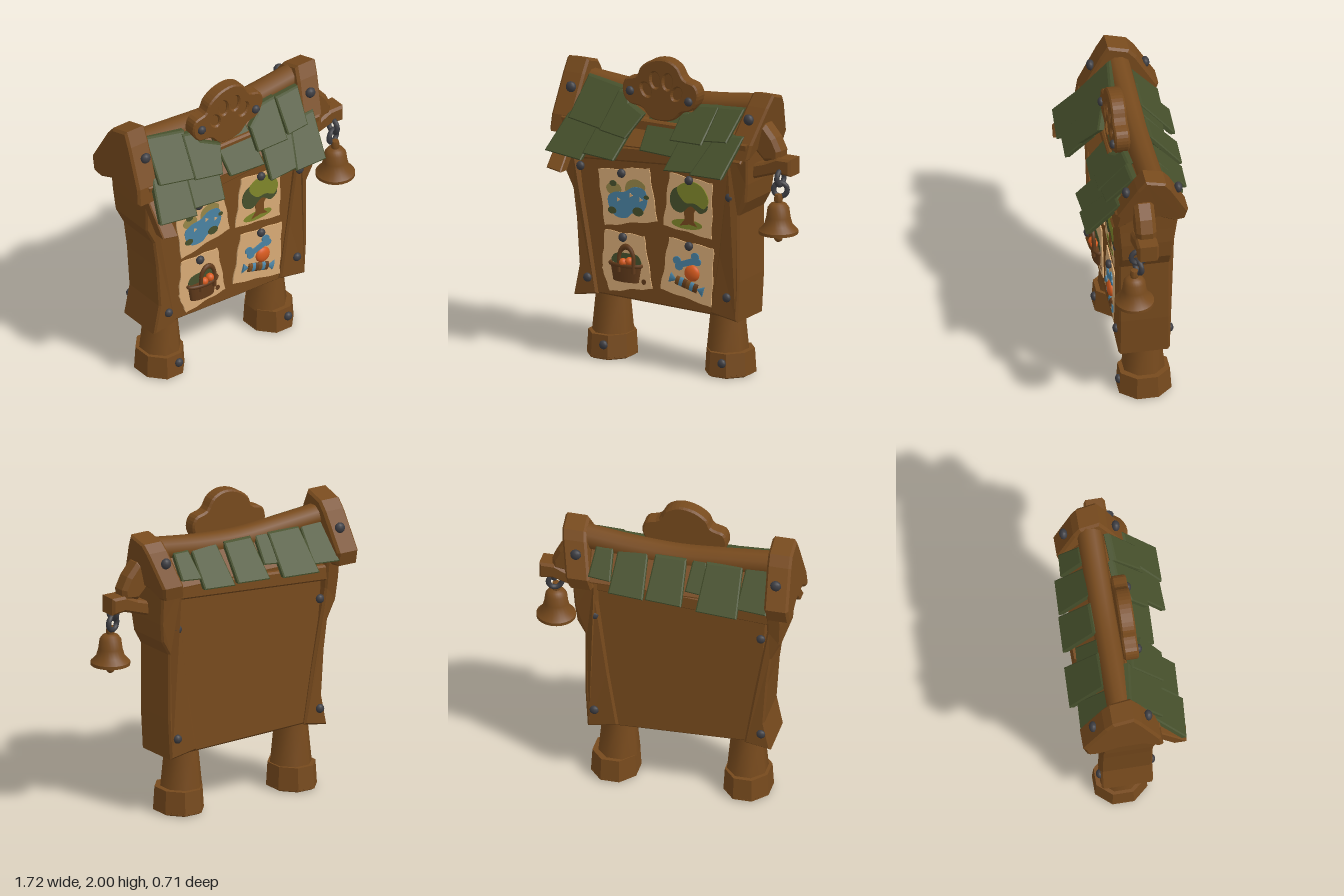
import * as THREE from 'three';
import { toCreasedNormals } from 'three/addons/utils/BufferGeometryUtils.js';

const paint = (name, color) => Object.assign(new THREE.MeshStandardMaterial({ color }), { name });

export function createModel() {
  const root = new THREE.Group();
  root.name = 'noticeBoard';
  const M = {
    wood: paint('wood', 0x774a1d), darkWood: paint('darkWood', 0x623b1b), roof: paint('roofGreen', 0x46502c),
    iron: paint('iron', 0x3d3d42), paper: paint('paper', 0xd8ab76), blue: paint('blue', 0x4a82a2),
    leaf: paint('leafGreen', 0x7f862a), orange: paint('orange', 0xd65a1e), olive: paint('olive', 0x978648),
  };
  const add = (name, geo, mat, x = 0, y = 0, z = 0, parent = root) => {
    const m = new THREE.Mesh(geo, mat);
    m.name = name;
    m.position.set(x, y, z);
    parent.add(m);
    return m;
  };
  const v2 = (pts) => pts.map(([x, y]) => new THREE.Vector2(x, y));
  const smooth = (pts, n = 40) =>
    new THREE.CatmullRomCurve3(pts.map(([x, y]) => new THREE.Vector3(x, y, 0)), true).getPoints(n).slice(0, n).map((p) => [p.x, p.y]);
  const oval = (cx, cy, rx, ry, a = 0, n = 20) => Array.from({ length: n }, (_, i) => {
    const t = (i / n) * Math.PI * 2, u = rx * Math.cos(t), v = ry * Math.sin(t);
    return [cx + u * Math.cos(a) - v * Math.sin(a), cy + u * Math.sin(a) + v * Math.cos(a)];
  });
  // Solid from a front outline between two depths, with chamfered edges
  const slabGeo = (pts, z0, z1, bevel = 0.012, holes = []) => {
    const shape = new THREE.Shape(v2(pts));
    holes.forEach((h) => shape.holes.push(new THREE.Path(v2(h))));
    const geo = new THREE.ExtrudeGeometry(shape, {
      depth: z1 - z0 - 2 * bevel, bevelEnabled: bevel > 0, bevelSize: bevel, bevelThickness: bevel, bevelOffset: -bevel, bevelSegments: 1,
    });
    return geo.translate(0, 0, z0 + bevel);
  };
  const slab = (name, pts, z0, z1, mat = M.wood, bevel, holes) => add(name, slabGeo(pts, z0, z1, bevel, holes), mat);
  // Moves every vertex by a rule
  const warp = (geo, rule) => {
    const p = geo.attributes.position, v = new THREE.Vector3();
    for (let i = 0; i < p.count; i++) {
      rule(v.fromBufferAttribute(p, i));
      p.setXYZ(i, v.x, v.y, v.z);
    }
    geo.computeVertexNormals();
    return geo;
  };
  const bolt = (x, y, z, r = 0.029) =>
    add('bolt', new THREE.SphereGeometry(r, 10, 8), M.iron, x, y, z).scale.set(1, 1, 0.75);

  // Board and side posts, the posts flaring in depth towards the roof
  slab('backPanel', [[-0.7, 1.6], [0.45, 1.6], [0.38, 0.4], [-0.62, 0.43]], -0.165, 0.12);
  const post = (name, pts) => add(name, warp(slabGeo(pts, -0.185, 0.14), (v) => {
    v.z *= 1 + 0.7 * Math.max(0, v.y - 1.2);
  }), M.wood);
  post('rightPost', [[-0.785, 1.56], [-0.785, 1.36], [-0.775, 1.21], [-0.715, 1.09], [-0.69, 0.9], [-0.67, 0.6], [-0.71, 0.4], [-0.54, 0.43], [-0.6, 0.8], [-0.69, 1.3], [-0.69, 1.56]]);
  post('leftPost', [[0.56, 1.56], [0.55, 1.4], [0.545, 1.29], [0.53, 1.17], [0.48, 1.08], [0.48, 0.65], [0.465, 0.385], [0.27, 0.42], [0.33, 0.8], [0.4, 1.35], [0.4, 1.56]]);
  const lintel = [[-0.72, 1.29], [0.42, 1.37], [0.42, 1.47], [-0.72, 1.39]];
  slab('frontLintel', lintel, 0.05, 0.16);
  slab('backLintel', lintel.map(([x, y]) => [x, y + 0.06]), -0.2, -0.1);

  // Legs with chunky feet
  for (const [x, fx] of [[-0.53, -0.535], [0.295, 0.315]]) {
    const leg = new THREE.Group();
    leg.name = 'leg';
    root.add(leg);
    const block = (name, rt, rb, h, px, y, depth, crease) => {
      const g = new THREE.CylinderGeometry(rt, rb, h, 8).rotateY(Math.PI / 8).scale(1, 1, depth);
      add(name, toCreasedNormals(g, crease), M.wood, px, y, -0.045, leg);
    };
    block('shin', 0.103, 0.132, 0.3, x, 0.3, 1.06, 0.95);
    block('foot', 0.148, 0.157, 0.15, fx, 0.085, 1.14, 0.4);
    block('sole', 0.157, 0.14, 0.02, fx, 0.01, 1.14, 0.4);
    bolt(fx + 0.03, 0.1, 0.12);
  }

  // Gable ends, leaning with height, notched underneath
  const gable = [[-0.0, 1.9], [-0.13, 1.86], [-0.17, 1.8], [-0.28, 1.56], [-0.26, 1.47], [-0.2, 1.46], [-0.1, 1.51], [0.05, 1.51], [0.14, 1.45], [0.18, 1.45], [0.165, 1.56], [0.05, 1.81]];
  const gableEnd = (name, x, top, lean, width, back) => {
    const g = slabGeo(gable, -width / 2, width / 2, 0.015).rotateY(-Math.PI / 2);
    add(name, warp(g, (v) => {
      v.x += x + lean * (v.y - 1.6);
      v.y += top * Math.max(0, v.y - 1.5);
      v.z += back * Math.min(0, v.z + 0.1);
    }), M.wood);
  };
  gableEnd('rightGable', -0.775, 0, 0.06, 0.155, 0.25);
  gableEnd('leftGable', 0.515, -0.12, 0.2, 0.155, 0);

  // Ridge beam, sagging in the middle
  const ridge = new THREE.CatmullRomCurve3([[-0.74, 1.745], [-0.4, 1.715], [-0.1, 1.695], [0.2, 1.71], [0.54, 1.75]].map(([x, y]) => new THREE.Vector3(x, y, -0.065)));
  add('ridgeBeam', new THREE.TubeGeometry(ridge, 16, 0.08, 10), M.wood);

  // Roof: anything on a slope is a front outline sheared in depth
  const sloped = (name, pts, thick, lift, mat, back = false) => {
    const g = slabGeo(pts, 0, thick, 0.008);
    add(name, warp(g, (v) => {
      if (back) v.z = -0.1 - (1.75 - v.y) * 0.88 - lift - thick + v.z;
      else v.z += (1.78 - v.y) * 0.85 + lift;
    }), mat);
  };
  sloped('frontRoofBoard', [[-0.7, 1.74], [0.46, 1.74], [0.42, 1.45], [-0.72, 1.42]], 0.04, -0.13, M.wood);
  sloped('backRoofBoard', [[-0.7, 1.72], [0.46, 1.72], [0.44, 1.53], [-0.7, 1.53]], 0.04, -0.06, M.wood, true);
  sloped('rightRafter', [[-0.78, 1.7], [-0.69, 1.7], [-0.68, 1.245], [-0.79, 1.26]], 0.09, -0.19, M.wood);
  sloped('leftRafter', [[0.46, 1.7], [0.56, 1.7], [0.52, 1.43], [0.43, 1.43]], 0.09, -0.19, M.wood);
  // Lower row first, upper row overlapping it
  [
    [[-0.73, 1.6], [-0.48, 1.57], [-0.535, 1.345], [-0.805, 1.37]],
    [[-0.5, 1.57], [-0.26, 1.55], [-0.31, 1.37], [-0.54, 1.385]],
    [[0.09, 1.56], [0.33, 1.56], [0.27, 1.37], [0.05, 1.36]],
    [[0.33, 1.59], [0.52, 1.6], [0.47, 1.36], [0.24, 1.36]],
  ].forEach((q, i) => sloped('lowerShingle', q, 0.045, -0.055 + (i % 2) * 0.008, M.roof));
  [
    [[-0.68, 1.8], [-0.4, 1.76], [-0.455, 1.525], [-0.715, 1.56]],
    [[-0.43, 1.75], [-0.36, 1.74], [-0.33, 1.69], [-0.2, 1.64], [-0.27, 1.5], [-0.47, 1.525]],
    [[0.15, 1.73], [0.29, 1.74], [0.26, 1.525], [0.03, 1.525], [0.045, 1.65], [0.12, 1.69]],
    [[0.29, 1.74], [0.47, 1.75], [0.43, 1.56], [0.27, 1.55]],
  ].forEach((q, i) => sloped('upperShingle', q, 0.045, -0.025 + (i % 2) * 0.012, M.roof));
  sloped('middleShingle', [[-0.2, 1.66], [0.06, 1.66], [0.075, 1.42], [-0.185, 1.43]], 0.045, -0.105, M.roof);
  [[-0.71, -0.53, 1.51], [-0.53, -0.28, 1.48], [-0.3, -0.19, 1.56], [-0.17, 0.05, 1.5], [0.08, 0.29, 1.5], [0.3, 0.43, 1.57]]
    .forEach(([a, b, y], i) => sloped('backShingle', [[a + 0.01, 1.73], [b - 0.01, 1.73], [b + 0.01, y + 0.01], [a - 0.005, y]], 0.045, -0.03 + (i % 2) * 0.015, M.roof, true));

  // Crest with a recessed paw
  const crest = smooth([[-0.25, 1.93], [-0.17, 1.985], [-0.07, 2.0], [0.01, 1.965], [0.06, 1.89], [0.14, 1.86], [0.165, 1.79], [0.12, 1.7], [0.04, 1.67], [-0.01, 1.62], [-0.09, 1.6], [-0.18, 1.61], [-0.24, 1.67], [-0.34, 1.69], [-0.38, 1.76], [-0.36, 1.84], [-0.28, 1.87]], 60);
  const paw = [
    smooth([[-0.1, 1.78], [-0.04, 1.75], [-0.005, 1.68], [-0.04, 1.645], [-0.1, 1.655], [-0.16, 1.645], [-0.195, 1.68], [-0.16, 1.75]], 28),
    oval(-0.21, 1.79, 0.03, 0.045, 0.5), oval(-0.145, 1.86, 0.031, 0.05, 0.1),
    oval(-0.055, 1.86, 0.031, 0.05, -0.1), oval(0.01, 1.79, 0.03, 0.045, -0.5),
  ];
  slab('crestBack', crest, 0.01, 0.088);
  slab('crestFront', crest, 0.055, 0.105, M.wood, 0.01, paw);
  bolt(-0.32, 1.77, 0.11);
  bolt(0.1, 1.755, 0.11);

  // Bolts on posts and gables, front and back
  for (const [x, y] of [[-0.655, 1.245], [-0.605, 0.53], [0.415, 1.19], [0.395, 0.54]]) {
    bolt(x, y, 0.146);
    bolt(x < 0 ? -0.65 : 0.42, y > 1 ? 1.24 : 0.52, -0.192);
  }
  bolt(-0.75, 1.73, 0.1, 0.035);
  bolt(0.53, 1.7, 0.105, 0.035);
  bolt(-0.76, 1.7, -0.25, 0.035);
  bolt(0.53, 1.7, -0.225, 0.035);

  // Bracket arm and brace
  slab('bracketArm', [[0.48, 1.39], [0.62, 1.43], [0.71, 1.47], [0.81, 1.47], [0.81, 1.36], [0.72, 1.37], [0.5, 1.3]], -0.055, 0.08, M.wood, 0.015);
  slab('bracketBrace', [[0.54, 1.68], [0.62, 1.67], [0.69, 1.59], [0.73, 1.51], [0.725, 1.44], [0.61, 1.43], [0.54, 1.5]], -0.055, 0.07, M.wood, 0.025);

  // Chain and bell
  const link = (y, r, turn) => {
    add('chainLink', new THREE.TorusGeometry(r, 0.017, 8, 20), M.iron, 0.735, y, 0.065).rotation.y = turn;
  };
  link(1.345, 0.045, Math.PI / 2);
  link(1.27, 0.043, 0.35);
  const bell = [[0, 1.25], [0.022, 1.245], [0.028, 1.215], [0.025, 1.195], [0.05, 1.185], [0.068, 1.16], [0.076, 1.1], [0.09, 1.05], [0.124, 1.015], [0.124, 0.995], [0.1, 0.99], [0.07, 1.05], [0, 1.14]];
  add('bell', toCreasedNormals(new THREE.LatheGeometry(v2(bell).reverse(), 24), 0.7), M.wood, 0.735, 0, 0.09);
  add('clapperRod', new THREE.CylinderGeometry(0.016, 0.02, 0.14, 10), M.wood, 0.735, 1.03, 0.09);
  add('clapper', new THREE.SphereGeometry(0.028, 12, 8), M.wood, 0.735, 0.965, 0.09);

  // Torn paper sheets with pins
  const torn = (q) => q.flatMap(([x, y], i) => {
    const [nx, ny] = q[(i + 1) % q.length];
    return Array.from({ length: 12 }, (_, k) => {
      const j = k ? 0.004 * Math.sin(k * 5.3 + i * 2.1) : 0;
      return [x + ((nx - x) * k) / 12 + j, y + ((ny - y) * k) / 12 - j];
    });
  });
  [
    [[-0.54, 1.235], [-0.175, 1.29], [-0.115, 0.955], [-0.49, 0.88]],
    [[-0.025, 1.285], [0.28, 1.255], [0.275, 0.895], [-0.07, 0.94]],
    [[-0.49, 0.85], [-0.21, 0.845], [-0.15, 0.515], [-0.455, 0.46], [-0.51, 0.6]],
    [[-0.03, 0.865], [0.29, 0.835], [0.275, 0.455], [-0.09, 0.525]],
  ].forEach((q) => slab('paper', torn(q), 0.119, 0.128, M.paper, 0));
  [[-0.365, 1.235], [0.12, 1.257], [-0.355, 0.822], [0.12, 0.832]].forEach(([x, y]) => bolt(x, y, 0.14));

  // Painted layers: each higher layer sits a little further forward
  const art = (name, pts, mat, layer = 1) => slab(name, pts, 0.127, 0.1275 + layer * 0.002, mat, 0);

  // Pond picture
  art('pondBank', oval(-0.425, 1.125, 0.055, 0.04), M.olive);
  art('pondBank', smooth([[-0.34, 1.12], [-0.33, 1.18], [-0.26, 1.205], [-0.2, 1.17], [-0.22, 1.12]]), M.olive);
  art('pond', smooth([[-0.465, 1.07], [-0.42, 1.105], [-0.35, 1.115], [-0.28, 1.155], [-0.205, 1.145], [-0.185, 1.07], [-0.22, 1.0], [-0.29, 0.985], [-0.33, 0.95], [-0.41, 0.95], [-0.455, 1.0]]), M.blue, 2);
  [[-0.43, 1.16, 0.025], [-0.435, 0.985, 0.03], [-0.25, 1.0, 0.038], [-0.19, 1.1, 0.018]].forEach(([x, y, r]) => art('bush', oval(x, y, r, r * 0.75), M.roof, 3));
  [[-0.39, 1.06], [-0.3, 1.1], [-0.23, 1.08]].forEach(([x, y]) => art('rock', oval(x, y, 0.016, 0.016, 0, 3), M.paper, 3));

  // Tree picture
  art('grass', oval(0.1, 0.968, 0.11, 0.032), M.leaf);
  art('treeTrunk', [[0.05, 0.955], [0.085, 1.0], [0.08, 1.05], [0.04, 1.1], [0.19, 1.11], [0.15, 1.05], [0.15, 0.99], [0.175, 0.96], [0.12, 0.97]], M.wood, 2);
  art('treeShade', smooth([[-0.02, 1.12], [0.0, 1.18], [0.06, 1.21], [0.2, 1.18], [0.25, 1.09], [0.2, 1.05], [0.13, 1.09], [0.06, 1.04], [0, 1.06]]), M.roof, 3);
  art('treeCrown', smooth([[0.03, 1.19], [0.07, 1.23], [0.14, 1.25], [0.215, 1.22], [0.255, 1.14], [0.225, 1.085], [0.16, 1.11], [0.09, 1.11]]), M.leaf, 4);

  // Basket picture in relief
  add('basket', new THREE.CylinderGeometry(0.11, 0.09, 0.11, 18), M.darkWood, -0.335, 0.595, 0.132).scale.z = 0.35;
  add('basketRim', new THREE.TorusGeometry(0.11, 0.013, 6, 24).rotateX(Math.PI / 2).scale(1, 1, 0.4), M.darkWood, -0.335, 0.65, 0.135);
  add('basketHandle', new THREE.TorusGeometry(0.052, 0.013, 8, 20, Math.PI).scale(1, 1.5, 1), M.darkWood, -0.315, 0.695, 0.165);
  for (const x of [-0.367, -0.263]) add('handlePost', new THREE.CylinderGeometry(0.013, 0.013, 0.1, 8), M.darkWood, x, 0.655, 0.165);
  art('basketLeaves', smooth([[-0.44, 0.66], [-0.42, 0.705], [-0.33, 0.72], [-0.25, 0.71], [-0.23, 0.66]]), M.roof, 2);
  for (const [x, y] of [[-0.34, 0.668], [-0.295, 0.68]]) add('fruit', new THREE.SphereGeometry(0.027, 14, 10), M.orange, x, y, 0.16);
  art('pawSpot', oval(-0.21, 0.55, 0.016, 0.018), M.darkWood);

  // Toys picture: bone, ball and wrapped sweet
  art('boneShaft', [[0.035, 0.715], [0.15, 0.76], [0.165, 0.72], [0.045, 0.68]], M.blue, 4);
  [[0.03, 0.728], [0.045, 0.69], [0.16, 0.768], [0.175, 0.735]].forEach(([x, y]) => art('boneKnob', oval(x, y, 0.028, 0.025), M.blue, 4));
  add('ball', new THREE.SphereGeometry(0.053, 20, 14), M.orange, 0.138, 0.657, 0.13).scale.z = 0.5;
  const sweet = new THREE.Group();
  sweet.name = 'sweet';
  sweet.position.set(0.1, 0.58, 0.13);
  sweet.rotation.z = -0.27;
  root.add(sweet);
  [M.wood, M.blue, M.darkWood, M.wood, M.blue, M.darkWood].forEach((mat, i) =>
    add('sweetBand', new THREE.CylinderGeometry(0.03, 0.03, 0.026, 12).rotateZ(Math.PI / 2).scale(1, 1, 0.5), mat, (i - 2.5) * 0.026, 0, 0, sweet));
  for (const s of [-1, 1]) add('sweetTwist', new THREE.ConeGeometry(0.035, 0.05, 8).rotateZ((s * Math.PI) / 2).scale(1, 1, 0.3), M.blue, s * 0.098, 0, 0.002, sweet);

  return root;
}
